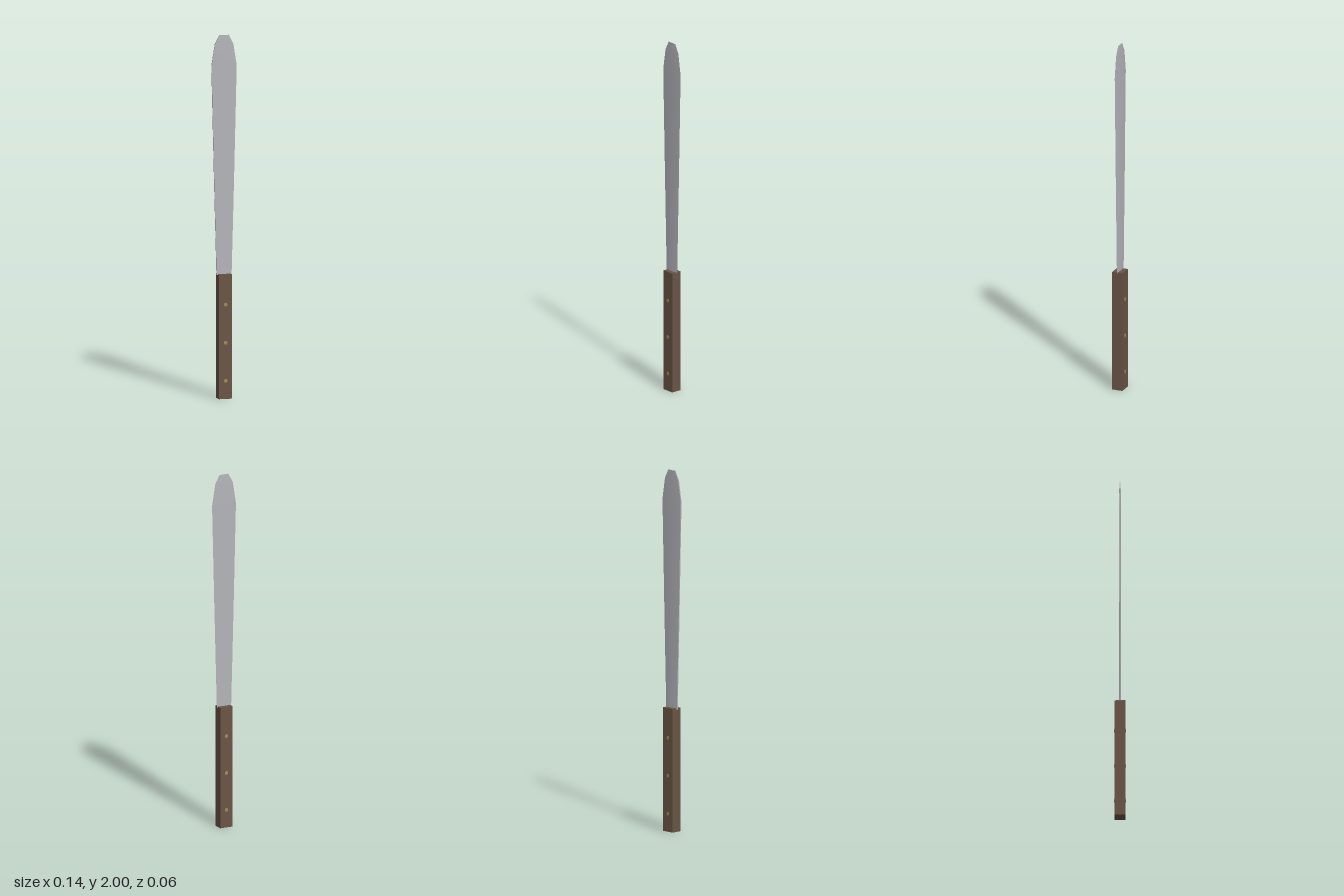
import * as THREE from 'three';

const material = (color) => new THREE.MeshStandardMaterial({ color, roughness: 0.6 });

// Blade stations from handle to tip: height, half width, half thickness at spine and middle
const STATIONS = [
  [0.68, 0.043, 0.003, 0.005],
  [1.25, 0.058, 0.003, 0.006],
  [1.83, 0.072, 0.003, 0.006],
  [1.95, 0.053, 0.003, 0.005],
  [2.0, 0.027, 0.002, 0.003],
];

// Cross-section: flat spine at -x, swollen middle, sharp edge at +x
function section([y, w, spine, middle]) {
  return [
    [-w, y, spine], [0, y, middle], [w, y, 0],
    [0, y, -middle], [-w, y, -spine],
  ];
}

function bladeGeometry() {
  const rings = STATIONS.map(section);
  const positions = [];
  const index = [];
  const add = (p) => positions.push(...p) / 3 - 1;

  // Front cheek, back cheek and spine are separate strips so their borders stay sharp
  for (const strip of [[0, 1, 2], [2, 3, 4], [4, 0]]) {
    const grid = rings.map((ring) => strip.map((k) => add(ring[k])));
    for (let i = 0; i + 1 < grid.length; i++) {
      for (let j = 0; j + 1 < strip.length; j++) {
        const a = grid[i][j], b = grid[i][j + 1];
        const c = grid[i + 1][j + 1], d = grid[i + 1][j];
        index.push(a, b, c, a, c, d);
      }
    }
  }

  // End caps
  const bottom = rings[0].map(add);
  const top = rings[rings.length - 1].map(add);
  for (let k = 1; k < 4; k++) {
    index.push(top[0], top[k], top[k + 1]);
    index.push(bottom[0], bottom[k + 1], bottom[k]);
  }

  const geometry = new THREE.BufferGeometry();
  geometry.setAttribute('position', new THREE.Float32BufferAttribute(positions, 3));
  geometry.setIndex(index);
  geometry.computeVertexNormals();
  return geometry;
}

export function createModel() {
  const model = new THREE.Group();
  model.name = 'machete';

  const blade = new THREE.Mesh(bladeGeometry(), material(0xb4b5ba));
  blade.name = 'blade';
  model.add(blade);

  // Plain wooden grip
  const handle = new THREE.Mesh(new THREE.BoxGeometry(0.074, 0.685, 0.06), material(0x6b5546));
  handle.name = 'handle';
  handle.position.y = 0.3425;
  model.add(handle);

  // Brass rivets passing right through the grip
  const brass = material(0xa08a5a);
  const rivetGeometry = new THREE.CylinderGeometry(0.0105, 0.0105, 0.063, 12).rotateX(Math.PI / 2);
  [0.1, 0.31, 0.52].forEach((y, i) => {
    const rivet = new THREE.Mesh(rivetGeometry, brass);
    rivet.name = `rivet${i + 1}`;
    rivet.position.y = y;
    model.add(rivet);
  });

  return model;
}
